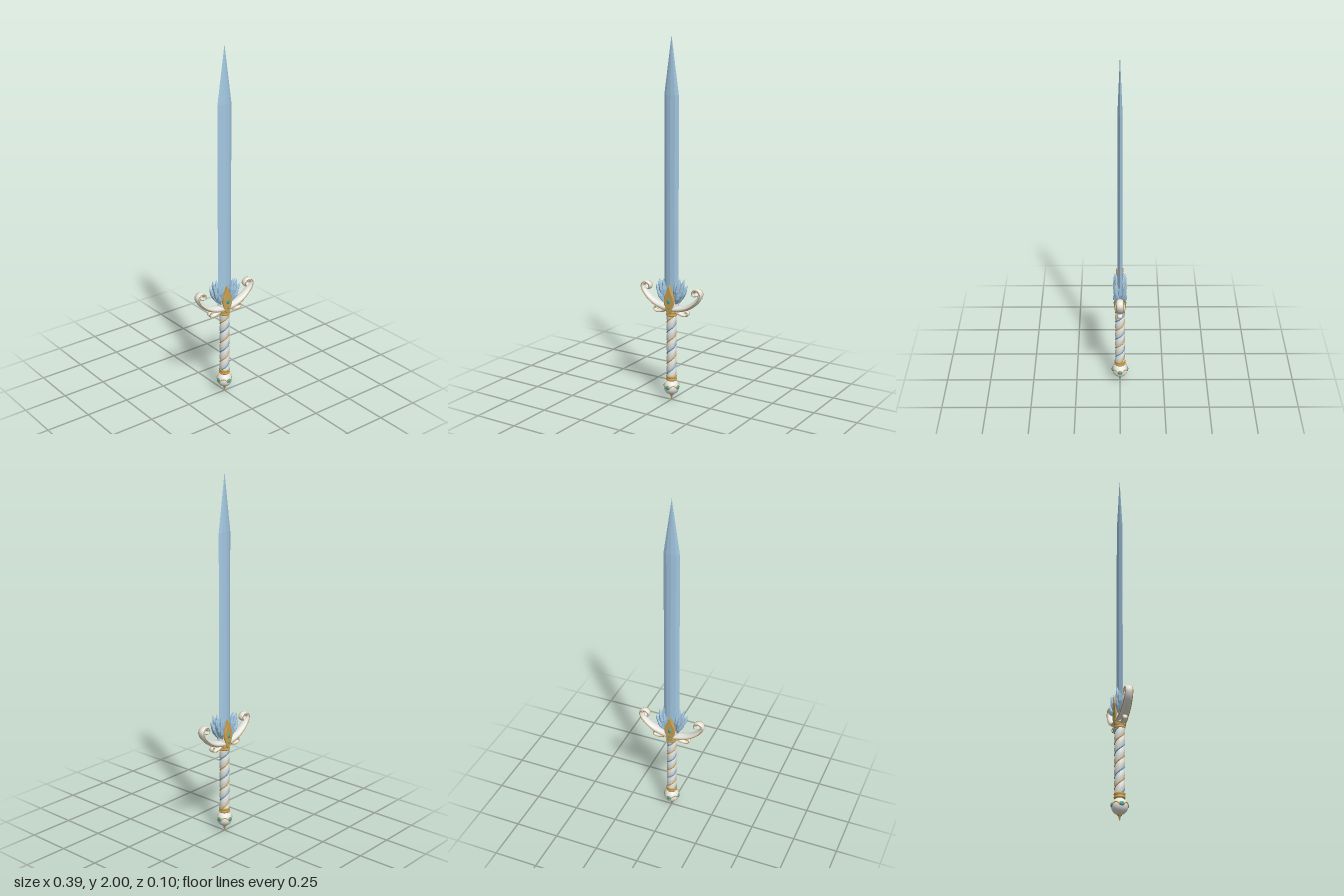
import * as THREE from 'three';
import { ConvexGeometry } from 'three/addons/geometries/ConvexGeometry.js';

const mat = (color, flatShading = false) => new THREE.MeshStandardMaterial({ color, flatShading });
const V = (x, y, z = 0) => new THREE.Vector3(x, y, z);

export function createModel() {
  const root = new THREE.Group();
  const white = mat(0xe4e4e0), gold = mat(0xc9a050), teal = mat(0x35a9a6);
  const blue = mat(0x5f9fc4), ice = mat(0xa3c8e2, true);

  const add = (parent, name, geometry, material, x = 0, y = 0, z = 0) => {
    const mesh = new THREE.Mesh(geometry, material);
    mesh.name = name;
    mesh.position.set(x, y, z);
    parent.add(mesh);
    return mesh;
  };
  const lathe = (pts, n = 28) => new THREE.LatheGeometry(pts.map(p => new THREE.Vector2(...p)), n);

  // Blade: faceted lens section drawn to a point
  const section = [[0.045, 0], [0.026, 0.011], [0, 0.015], [-0.026, 0.011],
    [-0.045, 0], [-0.026, -0.011], [0, -0.015], [0.026, -0.011]];
  const bladePoints = [V(0, 2, 0)];
  for (const [x, z] of section) bladePoints.push(V(x, 0.55, z), V(x, 1.69, z * 0.85));
  add(root, 'blade', new ConvexGeometry(bladePoints), ice);

  // Grip: two swollen lobes twisting upward, with a wire in each groove
  const y0 = 0.14, y1 = 0.495, pitch = 0.12;
  const twist = y => (y - y0) / pitch * Math.PI * 2;
  const grip = new THREE.CylinderGeometry(1, 1, y1 - y0, 32, 72, true);
  grip.translate(0, (y0 + y1) / 2, 0);
  const gp = grip.attributes.position;
  for (let i = 0; i < gp.count; i++) {
    const x = gp.getX(i), y = gp.getY(i), z = gp.getZ(i);
    const r = 0.0235 + 0.0045 * Math.abs(Math.sin(Math.atan2(-z, x) - twist(y)));
    gp.setXYZ(i, x * r, y, z * r);
  }
  grip.computeVertexNormals();
  add(root, 'grip', grip, white);
  [gold, blue].forEach((material, k) => {
    const pts = [];
    for (let i = 0; i <= 60; i++) {
      const y = y0 + (y1 - y0) * i / 60, a = twist(y) + k * Math.PI;
      pts.push(V(Math.cos(a) * 0.0245, y, -Math.sin(a) * 0.0245));
    }
    add(root, 'gripWire', new THREE.TubeGeometry(new THREE.CatmullRomCurve3(pts), 140, 0.0035, 6), material);
  });

  // Collars at both ends of the grip
  const collar = lathe([[0.02, -0.014], [0.028, -0.014], [0.031, -0.008], [0.027, -0.002],
    [0.027, 0.002], [0.031, 0.008], [0.028, 0.014], [0.02, 0.014]]);
  add(root, 'lowerCollar', collar, gold, 0, 0.13);
  add(root, 'upperCollar', collar, gold, 0, 0.502);

  // Pommel: ball, spike and four set gems
  add(root, 'pommel', new THREE.SphereGeometry(0.043, 32, 20), white, 0, 0.075);
  add(root, 'pommelSpike', lathe([[0, 0], [0.004, 0.012], [0.006, 0.024], [0.013, 0.031],
    [0.015, 0.037], [0, 0.042]], 16), gold);
  const addGem = (parent, x, y, z, w, h, d) => {
    const gem = add(parent, 'gem', new THREE.SphereGeometry(1, 14, 10), teal, x, y, z);
    gem.scale.set(w, h, d);
    const setting = add(parent, 'gemSetting', new THREE.TorusGeometry(1, 0.22, 8, 24), gold, x, y, z);
    setting.scale.set(w, h, d);
  };
  for (let k = 0; k < 4; k++) {
    const side = new THREE.Group();
    side.name = 'pommelGem';
    side.rotation.y = k * Math.PI / 2;
    addGem(side, 0, 0.08, 0.041, 0.012, 0.011, 0.007);
    // Swag between neighbouring settings
    const swag = [];
    for (let i = 0; i <= 12; i++) {
      const t = i / 12, a = (0.28 + t * (Math.PI / 2 - 0.56));
      const y = 0.02 * Math.sin(t * Math.PI) * 0.6 + 0.004, r = Math.sqrt(0.0435 ** 2 - y * y);
      swag.push(V(Math.sin(a) * r, 0.075 + y, Math.cos(a) * r));
    }
    add(side, 'pommelTrim', new THREE.TubeGeometry(new THREE.CatmullRomCurve3(swag), 20, 0.0028, 6), gold);
    root.add(side);
  }

  // Tapered scroll: oval section swept along a planar path
  const scroll = (parent, name, path, a0, a1, b0, b1) => {
    const curve = new THREE.CatmullRomCurve3(path.map(p => V(...p)));
    const rows = 64, cols = 18;
    const at = (t, angle, grow = 1) => {
      const p = curve.getPointAt(t), d = curve.getTangentAt(t);
      const a = (a0 + (a1 - a0) * t) * grow, b = (b0 + (b1 - b0) * t) * grow;
      const c = Math.cos(angle) * a;
      return V(p.x - d.y * c, p.y + d.x * c, Math.sin(angle) * b);
    };
    const pos = [], index = [];
    for (let i = 0; i <= rows; i++) for (let j = 0; j < cols; j++) {
      pos.push(...at(i / rows, j / cols * Math.PI * 2).toArray());
      if (i === rows) continue;
      const p = i * cols + j, q = i * cols + (j + 1) % cols;
      index.push(p, q, p + cols, q, q + cols, p + cols);
    }
    const g = new THREE.BufferGeometry();
    g.setAttribute('position', new THREE.Float32BufferAttribute(pos, 3));
    g.setIndex(index);
    g.computeVertexNormals();
    add(parent, name, g, white);
    // Rounded tip and gold edging on both faces
    const end = curve.getPointAt(1);
    add(parent, name + 'Tip', new THREE.SphereGeometry(1, 14, 10), white, end.x, end.y, 0)
      .scale.set(a1 * 1.15, a1 * 1.15, b1);
    for (const s of [1, -1]) {
      const pts = [];
      for (let i = 0; i <= 40; i++) pts.push(at(i / 40 * 0.95, s * (Math.PI / 2 + 0.35), 1.02));
      add(parent, name + 'Trim', new THREE.TubeGeometry(new THREE.CatmullRomCurve3(pts), 60, 0.0024, 6), gold);
    }
  };

  // Ice crystal from base to tip
  const crystalGeo = lathe([[0, 0], [0.5, 0.2], [0.95, 0.55], [0.6, 0.8], [0, 1]], 6);
  const crystal = (parent, base, tip, r) => {
    const dir = tip.clone().sub(base), m = add(parent, 'crystal', crystalGeo, ice, base.x, base.y, base.z);
    m.scale.set(r, dir.length(), r);
    m.quaternion.setFromUnitVectors(V(0, 1, 0), dir.normalize());
  };

  // Guard: each half has a large scroll, a small one and a crystal cluster
  for (const half of [0, 1]) {
    const g = new THREE.Group();
    g.name = half ? 'rightGuard' : 'leftGuard';
    g.rotation.y = half * Math.PI;
    scroll(g, 'guardArm', [[0, 0.528], [0.05, 0.533], [0.1, 0.548], [0.145, 0.577], [0.176, 0.612],
      [0.183, 0.638], [0.169, 0.653], [0.149, 0.651], [0.138, 0.636], [0.146, 0.622], [0.158, 0.627]],
    0.019, 0.007, 0.03, 0.015);
    scroll(g, 'smallScroll', [[0.01, 0.54], [0.035, 0.52], [0.065, 0.505], [0.093, 0.503],
      [0.106, 0.513], [0.099, 0.524], [0.089, 0.519]], 0.012, 0.005, 0.02, 0.011);
    for (const s of [1, -1]) {
      crystal(g, V(0.03, 0.56, s * 0.012), V(0.04, 0.7, s * 0.022), 0.014);
      crystal(g, V(0.035, 0.56, s * 0.012), V(0.062, 0.695, s * 0.03), 0.015);
      crystal(g, V(0.04, 0.56, s * 0.01), V(0.086, 0.665, s * 0.024), 0.015);
      crystal(g, V(0.035, 0.555, s * 0.015), V(0.07, 0.635, s * 0.036), 0.013);
    }
    crystal(g, V(0.04, 0.56, 0), V(0.076, 0.69, 0), 0.014);
    root.add(g);
  }
  add(root, 'guardCore', new THREE.SphereGeometry(1, 28, 18), white, 0, 0.548)
    .scale.set(0.043, 0.05, 0.032);

  // Pointed gold shield with gems, front and back
  const shape = new THREE.Shape();
  shape.moveTo(0, 0.505);
  shape.quadraticCurveTo(0.018, 0.515, 0.017, 0.535);
  shape.quadraticCurveTo(0.036, 0.57, 0.022, 0.605);
  shape.quadraticCurveTo(0.009, 0.625, 0, 0.66);
  shape.quadraticCurveTo(-0.009, 0.625, -0.022, 0.605);
  shape.quadraticCurveTo(-0.036, 0.57, -0.017, 0.535);
  shape.quadraticCurveTo(-0.018, 0.515, 0, 0.505);
  const shieldGeo = new THREE.ExtrudeGeometry(shape, { depth: 0.018, bevelEnabled: true,
    bevelSize: 0.003, bevelThickness: 0.004, bevelSegments: 2, curveSegments: 10 });
  for (const half of [0, 1]) {
    const g = new THREE.Group();
    g.name = half ? 'backShield' : 'frontShield';
    g.rotation.y = half * Math.PI;
    add(g, 'shield', shieldGeo, gold, 0, 0, 0.01);
    addGem(g, 0, 0.575, 0.031, 0.01, 0.014, 0.006);
    addGem(g, 0, 0.536, 0.031, 0.006, 0.007, 0.005);
    root.add(g);
  }
  return root;
}
